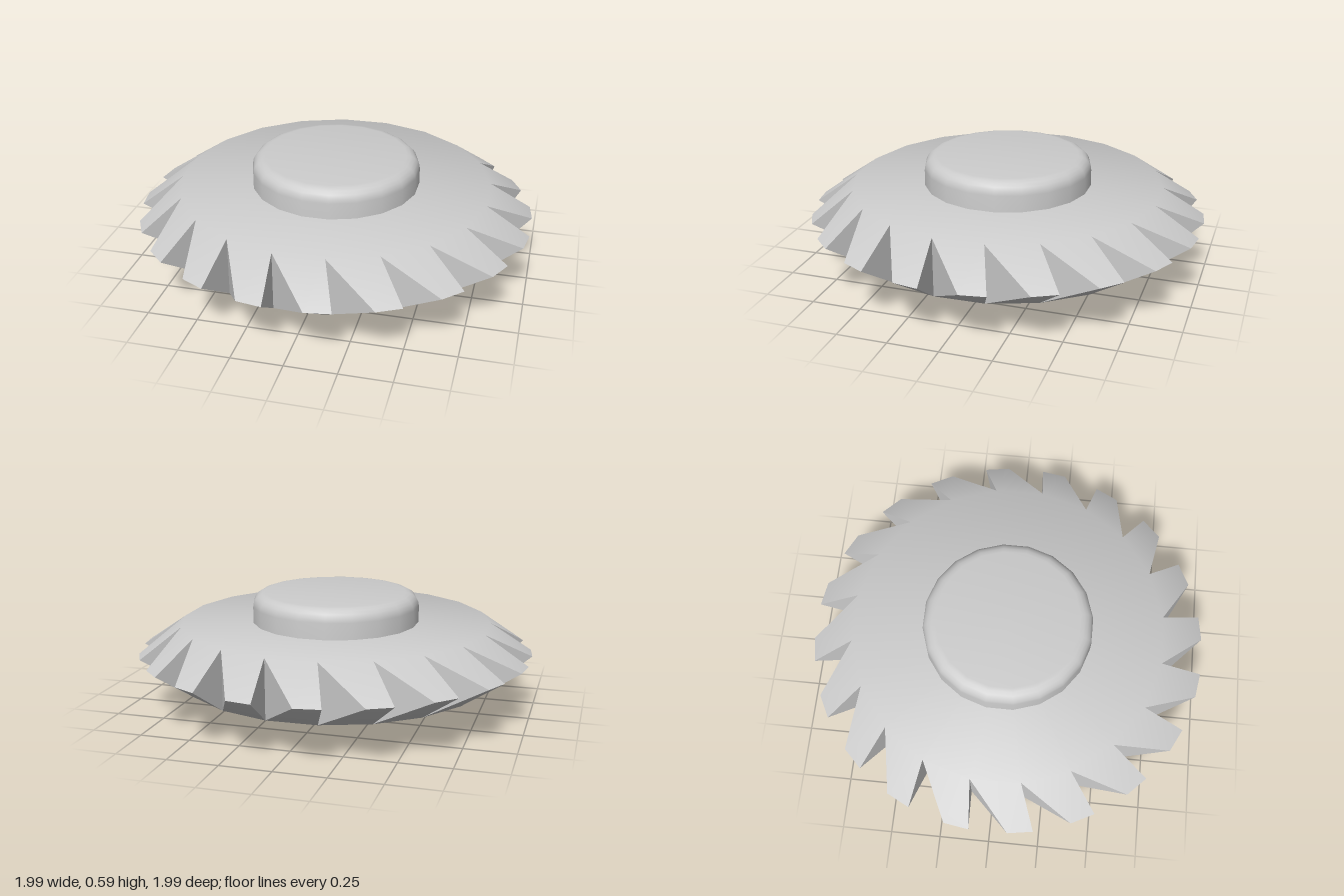
import * as THREE from 'three';
import { toCreasedNormals } from 'three/addons/utils/BufferGeometryUtils.js';

const TEETH = 20, MID = 0.3, HALF = 0.147, ROOT = 0.787, TIP = 1;

// Point at an angle in degrees, clockwise from the back as seen from above
function polar(deg, r, y) {
  const a = THREE.MathUtils.degToRad(deg);
  return [Math.sin(a) * r, y, -Math.cos(a) * r];
}

// Flat disc with raked teeth that taper to a sharp rim at mid height
function bladeGeometry() {
  const pos = [];
  const tri = (a, b, c) => pos.push(...a, ...b, ...c);
  const top = MID + HALF, bottom = MID - HALF;
  for (let k = 0; k < TEETH; k++) {
    const d = (k * 360) / TEETH;
    const a = polar(d + 5.4, TIP, MID), b = polar(d + 12.6, TIP, MID);
    const root = (deg, y) => polar(deg, ROOT, y);
    const d0 = d + 7.8, d1 = d0 + 360 / TEETH;
    const t0 = root(d0, top), t1 = root(d1, top);
    const b0 = root(d0, bottom), b1 = root(d1, bottom);
    // disc faces
    tri([0, top, 0], t1, t0);
    tri([0, bottom, 0], b0, b1);
    // sloping tooth faces
    tri(t0, t1, b);
    tri(t0, b, a);
    tri(b0, b, b1);
    tri(b0, a, b);
    // gullet walls
    tri(b0, t0, a);
    tri(t1, b1, b);
  }
  const g = new THREE.BufferGeometry();
  g.setAttribute('position', new THREE.Float32BufferAttribute(pos, 3));
  return toCreasedNormals(g, THREE.MathUtils.degToRad(42));
}

// Round hub through the disc, with rounded rims
function hubGeometry() {
  const R = 0.424, H = 0.595, B = 0.065, STEPS = 5;
  const pts = [new THREE.Vector2(0, 0.005)];
  for (const [cy, start] of [[0.005 + B, -90], [H - B, 0]]) {
    for (let i = 0; i <= STEPS; i++) {
      const a = THREE.MathUtils.degToRad(start + (90 * i) / STEPS);
      pts.push(new THREE.Vector2(R - B + B * Math.cos(a), cy + B * Math.sin(a)));
    }
  }
  pts.push(new THREE.Vector2(0, H));
  const g = new THREE.LatheGeometry(pts, 20, Math.PI / 20);
  return toCreasedNormals(g, THREE.MathUtils.degToRad(40));
}

export function createModel() {
  const material = new THREE.MeshStandardMaterial({ color: 0xcccccc });
  const group = new THREE.Group();
  group.name = 'sawBlade';
  const add = (name, geometry) => {
    const mesh = new THREE.Mesh(geometry, material);
    mesh.name = name;
    group.add(mesh);
  };
  add('toothedDisc', bladeGeometry());
  add('hub', hubGeometry());
  group.children.forEach((m) => (m.position.y = -0.005));
  return group;
}
